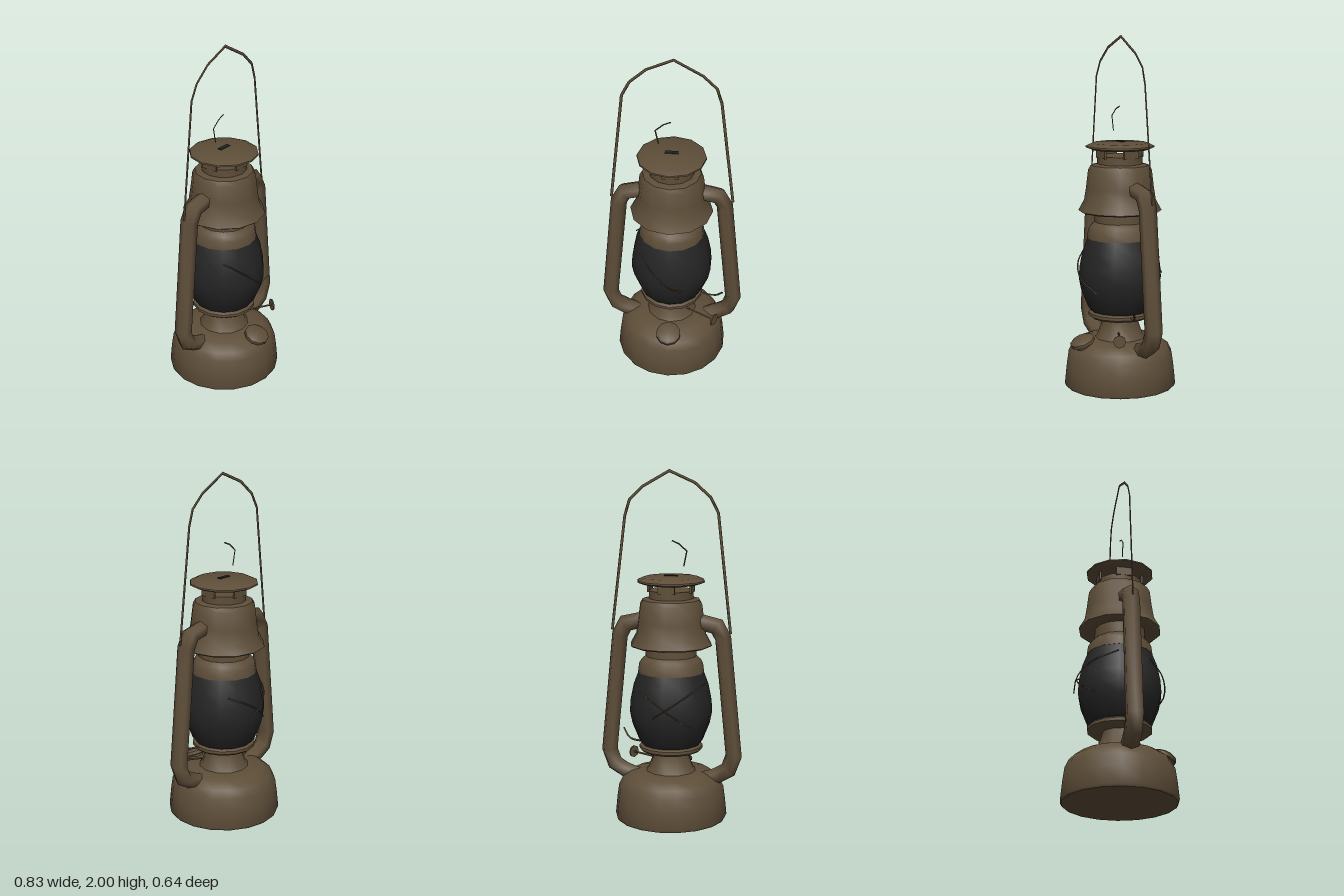
import * as THREE from 'three';
import { toCreasedNormals } from 'three/addons/utils/BufferGeometryUtils.js';

const metal = new THREE.MeshStandardMaterial({ color: 0x5e4e39, side: THREE.DoubleSide });
metal.name = 'aged brown metal';
const soot = new THREE.MeshStandardMaterial({ color: 0x242425, side: THREE.DoubleSide });
soot.name = 'sooty black glass';

function part(group, name, geometry, material = metal) {
  const mesh = new THREE.Mesh(geometry, material);
  mesh.name = name;
  group.add(mesh);
  return mesh;
}

// Turned part from [radius, height] pairs, listed bottom to top
function turned(profile, sides) {
  const points = profile.map(([r, y]) => new THREE.Vector2(r, y));
  return toCreasedNormals(new THREE.LatheGeometry(points, sides), 0.75);
}

// Mitred sweep along a path in the xy plane; rn is the in-plane radius, rz the depth radius
function sweep(path, rn, rz, sides) {
  const pts = path.map(([x, y]) => new THREE.Vector2(x, y));
  const pos = [], index = [];
  pts.forEach((p, i) => {
    const a = pts[Math.max(i - 1, 0)], b = pts[Math.min(i + 1, pts.length - 1)];
    const into = (i ? p.clone().sub(a) : b.clone().sub(p)).normalize();
    const out = (i < pts.length - 1 ? b.clone().sub(p) : into.clone()).normalize();
    const t = into.clone().add(out).normalize();
    const miter = rn / Math.max(t.dot(into), 0.5);
    for (let k = 0; k < sides; k++) {
      const ang = (k / sides) * Math.PI * 2;
      const n = Math.cos(ang) * miter;
      pos.push(p.x - t.y * n, p.y + t.x * n, Math.sin(ang) * rz);
      if (i < pts.length - 1) {
        const k2 = (k + 1) % sides, r = i * sides, s = r + sides;
        index.push(r + k, r + k2, s + k, r + k2, s + k2, s + k);
      }
    }
  });
  const geo = new THREE.BufferGeometry();
  geo.setAttribute('position', new THREE.Float32BufferAttribute(pos, 3));
  geo.setIndex(index);
  geo.computeVertexNormals();
  return geo;
}

// Thin round wire through 3D points
function wire(points, radius) {
  const curve = new THREE.CatmullRomCurve3(points.map((p) => new THREE.Vector3(...p)));
  return new THREE.TubeGeometry(curve, 10, radius, 4);
}

export function createModel() {
  const lamp = new THREE.Group();
  lamp.name = 'oilLantern';

  // Fuel tank and burner
  part(lamp, 'fuelTank', turned([
    [0, 0.01], [0.315, 0.005], [0.322, 0.02], [0.312, 0.12], [0.302, 0.19],
    [0.28, 0.235], [0.23, 0.272], [0.15, 0.283], [0, 0.285],
  ], 18));
  part(lamp, 'burnerCone', turned([
    [0.15, 0.275], [0.13, 0.3], [0.1, 0.385], [0.1, 0.41],
  ], 12));
  part(lamp, 'globePlate', turned([
    [0, 0.402], [0.165, 0.402], [0.182, 0.415], [0.182, 0.432], [0.17, 0.442], [0, 0.442],
  ], 14));

  // Sooty globe
  part(lamp, 'globe', turned([
    [0.165, 0.44], [0.182, 0.46], [0.222, 0.56], [0.236, 0.63], [0.231, 0.7],
    [0.213, 0.79], [0.185, 0.865], [0.16, 0.875],
  ], 14), soot);

  // Collar, hood and chimney
  part(lamp, 'globeCollar', turned([
    [0.165, 0.86], [0.188, 0.862], [0.182, 0.91], [0.168, 0.935], [0.145, 0.955], [0.143, 1.03],
  ], 14));
  part(lamp, 'hood', turned([
    [0.14, 1.02], [0.225, 1.012], [0.236, 1.02], [0.203, 1.08], [0.192, 1.15],
    [0.18, 1.25], [0.165, 1.277], [0.125, 1.285],
  ], 12));
  part(lamp, 'chimney', turned([
    [0.128, 1.275], [0.128, 1.33], [0, 1.33],
  ], 12));
  for (let i = 0; i < 4; i++) {
    const a = (i * Math.PI) / 2;
    const post = part(lamp, 'chimneyPost', new THREE.BoxGeometry(0.095, 0.06, 0.012));
    post.position.set(Math.sin(a) * 0.122, 1.35, Math.cos(a) * 0.122);
    post.rotation.y = a;
  }
  part(lamp, 'chimneyCap', turned([
    [0, 1.372], [0.165, 1.366], [0.195, 1.378], [0.193, 1.386], [0.155, 1.403], [0, 1.41],
  ], 12));
  part(lamp, 'capTab', new THREE.BoxGeometry(0.075, 0.008, 0.022), soot).position.y = 1.41;

  // Side air tubes
  for (const s of [1, -1]) {
    const path = [
      [0.14, 1.15], [0.18, 1.15], [0.265, 1.13], [0.3, 1.065],
      [0.366, 0.385], [0.335, 0.3], [0.27, 0.262], [0.18, 0.23],
    ];
    part(lamp, s > 0 ? 'leftAirTube' : 'rightAirTube',
      sweep(path.map(([x, y]) => [x * s, y]), 0.046, 0.051, 6));
  }

  // Carrying bail and loose lift hook
  part(lamp, 'bail', sweep([
    [-0.342, 1.09], [-0.268, 1.765], [-0.225, 1.85], [-0.135, 1.93], [0.01, 1.994],
    [0.165, 1.905], [0.24, 1.83], [0.267, 1.74], [0.345, 1.09],
  ], 0.008, 0.004, 4));
  part(lamp, 'liftHook', sweep([
    [-0.073, 1.465], [-0.09, 1.55], [-0.045, 1.59], [-0.005, 1.607],
  ], 0.004, 0.003, 4));

  // Filler cap, tipped forward on the tank shoulder
  const filler = new THREE.Group();
  filler.name = 'fillerCap';
  part(filler, 'fillerCapBody', turned([
    [0.045, -0.05], [0.05, 0], [0.072, 0.005], [0.072, 0.024], [0.055, 0.036], [0, 0.038],
  ], 10));
  filler.position.set(0, 0.27, 0.24);
  filler.rotation.x = 0.4;
  lamp.add(filler);

  // Wick adjuster
  part(lamp, 'wickRod', wire([[0.07, 0.33, 0.05], [0.16, 0.33, 0.1], [0.26, 0.33, 0.155]], 0.006));
  const knob = part(lamp, 'wickKnob', new THREE.CylinderGeometry(0.036, 0.036, 0.008, 8));
  knob.position.set(0.262, 0.33, 0.156);
  knob.rotation.set(0, -0.53, Math.PI / 2);

  // Globe lifting lever
  part(lamp, 'globeLever', wire([[0.17, 0.43, 0.03], [0.26, 0.44, 0.06], [0.305, 0.49, 0.09]], 0.006));

  // Guard wires around the globe
  part(lamp, 'frontGuardWire', wire([
    [-0.17, 0.79, 0.135], [-0.09, 0.72, 0.225], [0, 0.64, 0.252], [0.09, 0.57, 0.2],
  ], 0.004));
  part(lamp, 'backGuardWire', wire([
    [-0.21, 0.81, -0.05], [-0.13, 0.76, -0.19], [-0.04, 0.7, -0.25], [0.05, 0.64, -0.25],
  ], 0.004));
  part(lamp, 'backCrossWire', wire([
    [0.14, 0.77, -0.165], [0.04, 0.72, -0.235], [-0.06, 0.65, -0.235], [-0.15, 0.58, -0.17],
  ], 0.004));

  return lamp;
}
